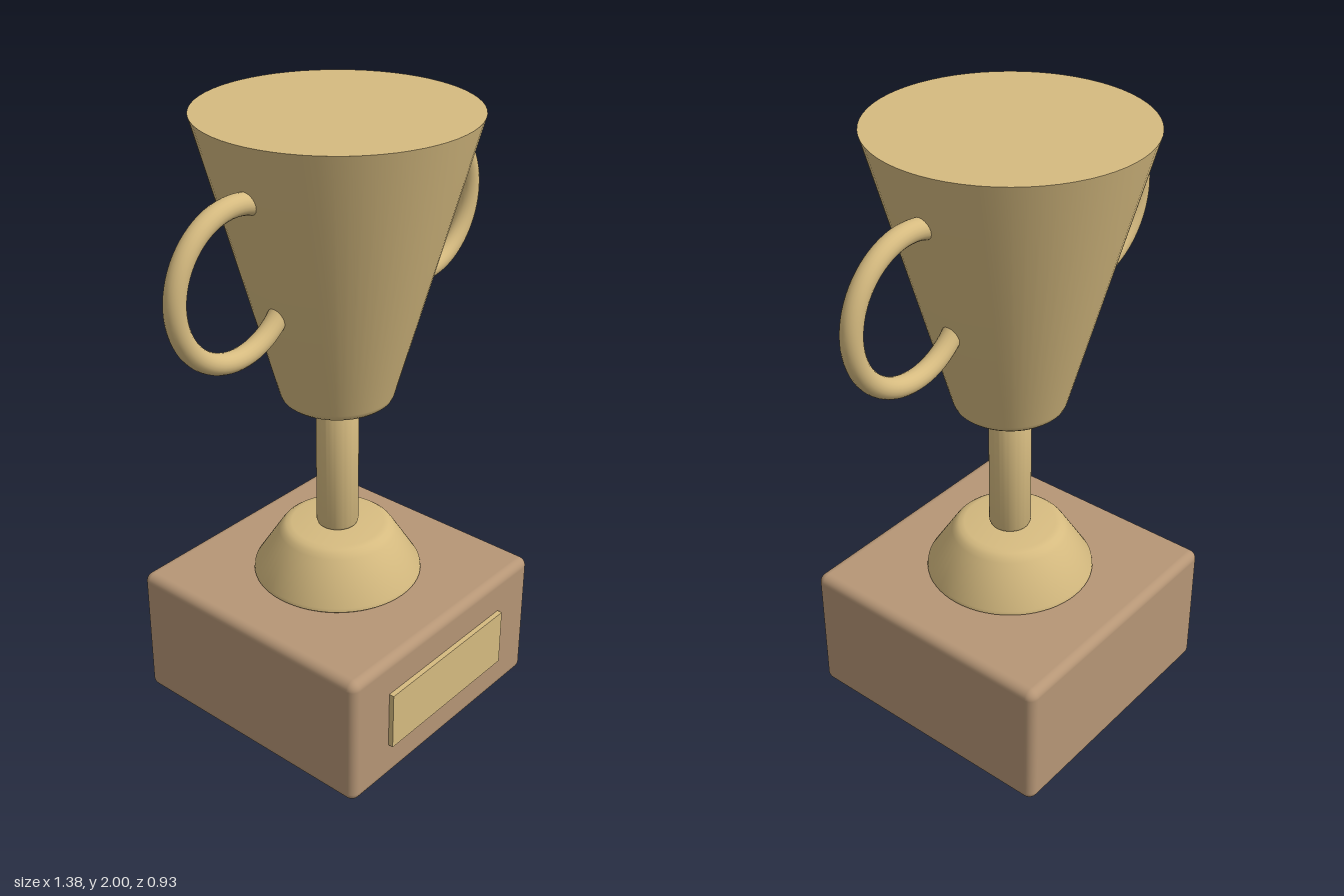
import * as THREE from 'three';
import { RoundedBoxGeometry } from 'three/addons/geometries/RoundedBoxGeometry.js';
import { toCreasedNormals } from 'three/addons/utils/BufferGeometryUtils.js';

const gold = new THREE.MeshStandardMaterial({ color: 0xd6bb80 });
gold.name = 'gold';
const wood = new THREE.MeshStandardMaterial({ color: 0xb69676 });
wood.name = 'wood';

export function createModel() {
  const trophy = new THREE.Group();
  trophy.name = 'trophy';

  const add = (name, geometry, material, x, y, z) => {
    const mesh = new THREE.Mesh(geometry, material);
    mesh.name = name;
    mesh.position.set(x, y, z);
    trophy.add(mesh);
    return mesh;
  };

  // Turned solid from [radius, height] points, listed bottom to top
  const turned = (name, profile) => {
    const points = profile.map(([r, y]) => new THREE.Vector2(r, y));
    const geometry = toCreasedNormals(new THREE.LatheGeometry(points, 64), 0.6);
    return add(name, geometry, gold, 0, 0, AXIS_Z);
  };

  const AXIS_Z = -0.02;

  // Plinth and plaque
  add('plinth', new RoundedBoxGeometry(0.91, 0.457, 0.91, 4, 0.03), wood, 0, 0.2285, AXIS_Z);
  add('plaque', new THREE.BoxGeometry(0.57, 0.2, 0.04), gold, 0, 0.23, 0.432);

  // Foot with a softened upper edge
  turned('foot', [
    [0, 0.457], [0.268, 0.457], [0.275, 0.463], [0.273, 0.475],
    [0.191, 0.605], [0.181, 0.618], [0.168, 0.628], [0.15, 0.632], [0, 0.632],
  ]);

  // Stem with small rounded ends
  turned('stem', [
    [0, 0.632], [0.055, 0.632], [0.064, 0.636], [0.068, 0.645],
    [0.068, 1.077], [0.064, 1.086], [0.055, 1.09], [0, 1.09],
  ]);

  // Closed, tapering cup
  turned('cup', [
    [0, 1.09], [0.152, 1.09], [0.165, 1.093], [0.174, 1.101], [0.18, 1.115],
    [0.422, 2], [0, 2],
  ]);

  // Ring handles running into the cup wall
  for (const [name, side] of [['leftHandle', 1], ['rightHandle', -1]]) {
    add(name, new THREE.TorusGeometry(0.227, 0.032, 20, 72), gold, side * 0.43, 1.603, AXIS_Z);
  }

  return trophy;
}
